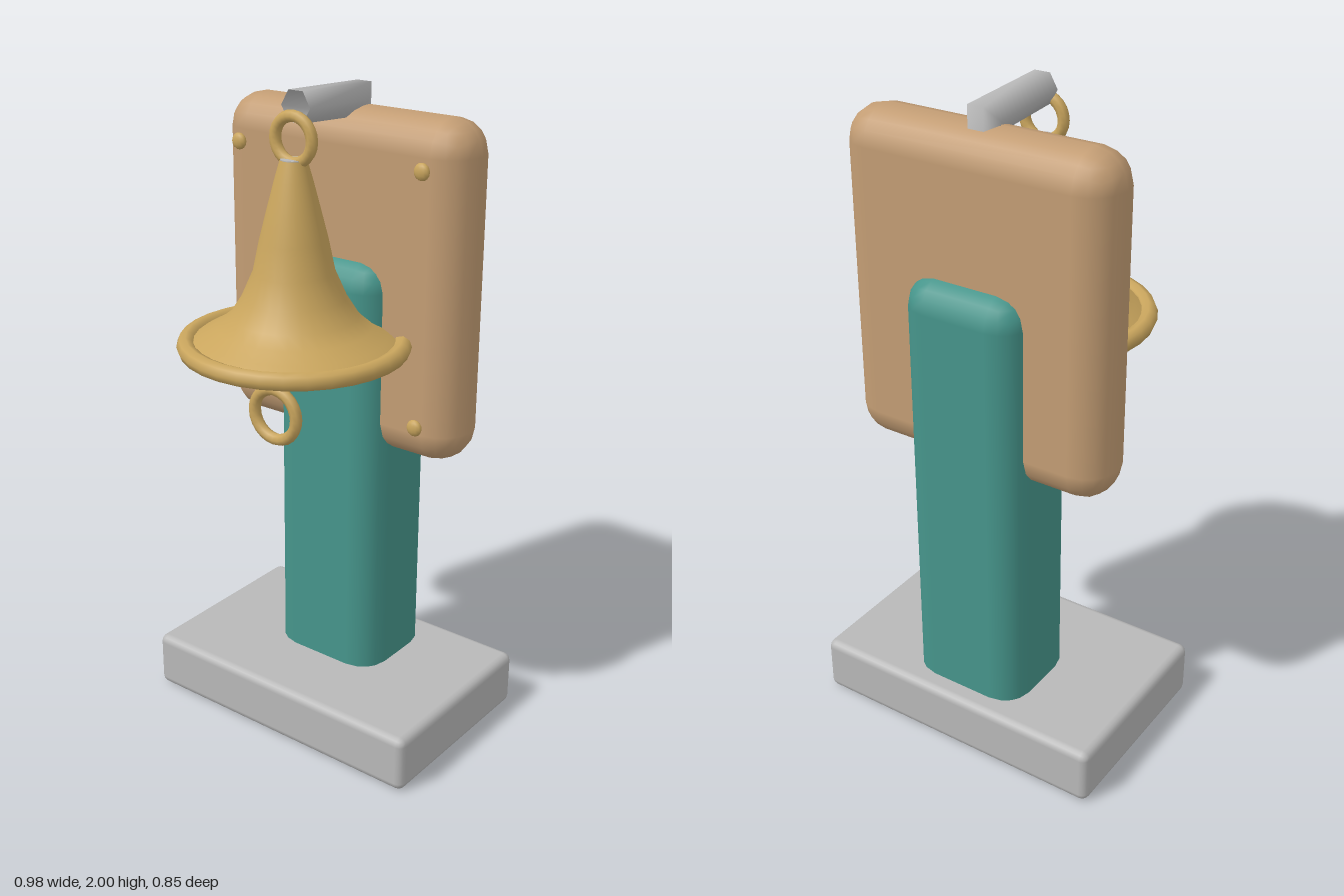
import * as THREE from 'three';
import { RoundedBoxGeometry } from 'three/addons/geometries/RoundedBoxGeometry.js';

const material = (name, color, side = THREE.FrontSide) => {
  const m = new THREE.MeshStandardMaterial({ color, side });
  m.name = name;
  return m;
};

export function createModel() {
  const model = new THREE.Group();
  model.name = 'wallBellOnStand';

  const grey = material('grey metal', 0xb8b8b8, THREE.DoubleSide);
  const teal = material('teal paint', 0x46958b);
  const wood = material('tan wood', 0xc39d74);
  const brass = material('brass', 0xc9a55d, THREE.DoubleSide);

  const add = (name, geometry, mat, x = 0, y = 0, z = 0) => {
    const mesh = new THREE.Mesh(geometry, mat);
    mesh.name = name;
    mesh.position.set(x, y, z);
    model.add(mesh);
    return mesh;
  };

  // Stand
  add('base', new RoundedBoxGeometry(0.98, 0.18, 0.63, 2, 0.025), grey, 0, 0.09, -0.113);
  add('post', new RoundedBoxGeometry(0.385, 1.43, 0.325, 2, 0.09), teal, 0, 0.795, -0.202);

  // Backing board and its four studs
  add('board', new RoundedBoxGeometry(0.855, 1.01, 0.21, 2, 0.1), wood, 0, 1.425, -0.195);
  for (const x of [-0.323, 0.323]) {
    for (const y of [1.053, 1.8]) {
      add('stud', new THREE.SphereGeometry(0.025, 12, 8), brass, x, y, -0.062).scale.z = 0.56;
    }
  }

  // Hanger: six-sided pipe rising from the board and bending forward
  const path = new THREE.CurvePath();
  const points = [[1.8, -0.195], [1.942, -0.195], [1.957, 0.075]];
  const rings = [
    { y: points[0][0], z: points[0][1], up: [0, 1] },
    { y: points[1][0], z: points[1][1], up: [1, 1] },
    { y: points[2][0], z: points[2][1], up: [1, 0] },
  ];
  const pos = [];
  const index = [];
  rings.forEach(({ y, z, up }, i) => {
    for (let j = 0; j < 6; j++) {
      const a = (j / 6) * Math.PI * 2;
      const s = Math.sin(a) * 0.05;
      pos.push(Math.cos(a) * 0.05, y + s * up[0], z - s * up[1]);
      if (i < 2) {
        const p = i * 6 + j;
        const q = i * 6 + ((j + 1) % 6);
        index.push(p, q, p + 6, q, q + 6, p + 6);
      }
    }
  });
  const pipe = new THREE.BufferGeometry();
  pipe.setAttribute('position', new THREE.Float32BufferAttribute(pos, 3));
  // Order corners so the faces point outward
  for (let i = 0; i < index.length; i += 3) {
    [index[i + 1], index[i + 2]] = [index[i + 2], index[i + 1]];
  }
  const a = new THREE.Vector3().fromArray(pos, index[0] * 3);
  const b = new THREE.Vector3().fromArray(pos, index[1] * 3);
  const c = new THREE.Vector3().fromArray(pos, index[2] * 3);
  const normal = b.clone().sub(a).cross(c.clone().sub(a));
  const outward = a.clone().add(b).add(c).divideScalar(3).sub(new THREE.Vector3(0, 1.87, -0.195));
  outward.y = 0;
  if (normal.dot(outward) < 0) {
    for (let i = 0; i < index.length; i += 3) {
      [index[i + 1], index[i + 2]] = [index[i + 2], index[i + 1]];
    }
  }
  pipe.setIndex(index);
  pipe.computeVertexNormals();
  add('hanger', pipe, grey);

  // Bell, open at the bottom
  const bellZ = 0.085;
  const profile = [
    [0.31, 1.285], [0.27, 1.312], [0.225, 1.338], [0.185, 1.37], [0.15, 1.425], [0.117, 1.5],
    [0.098, 1.59], [0.075, 1.68], [0.054, 1.76], [0.038, 1.815],
  ].map(([r, y]) => new THREE.Vector2(r, y));
  add('bell', new THREE.LatheGeometry(profile, 32), brass, 0, 0, bellZ);
  add('bellCap', new THREE.CylinderGeometry(0.037, 0.037, 0.008, 12), grey, 0, 1.813, bellZ);
  add('bellRim', new THREE.TorusGeometry(0.312, 0.027, 8, 32), brass, 0, 1.285, bellZ)
    .rotation.x = Math.PI / 2;
  add('hangingRing', new THREE.TorusGeometry(0.064, 0.017, 8, 24), brass, 0, 1.87, bellZ);

  // Clapper with its pull cord and ring
  add('clapper', new THREE.SphereGeometry(0.04, 12, 8), grey, 0, 1.285, bellZ);
  const cord = new THREE.LineCurve3(
    new THREE.Vector3(0, 1.34, 0.125), new THREE.Vector3(0, 1.17, 0.175));
  add('pullCord', new THREE.TubeGeometry(cord, 1, 0.013, 8), wood);
  add('pullRing', new THREE.TorusGeometry(0.077, 0.018, 8, 24), brass, 0, 1.09, 0.175);

  return model;
}
